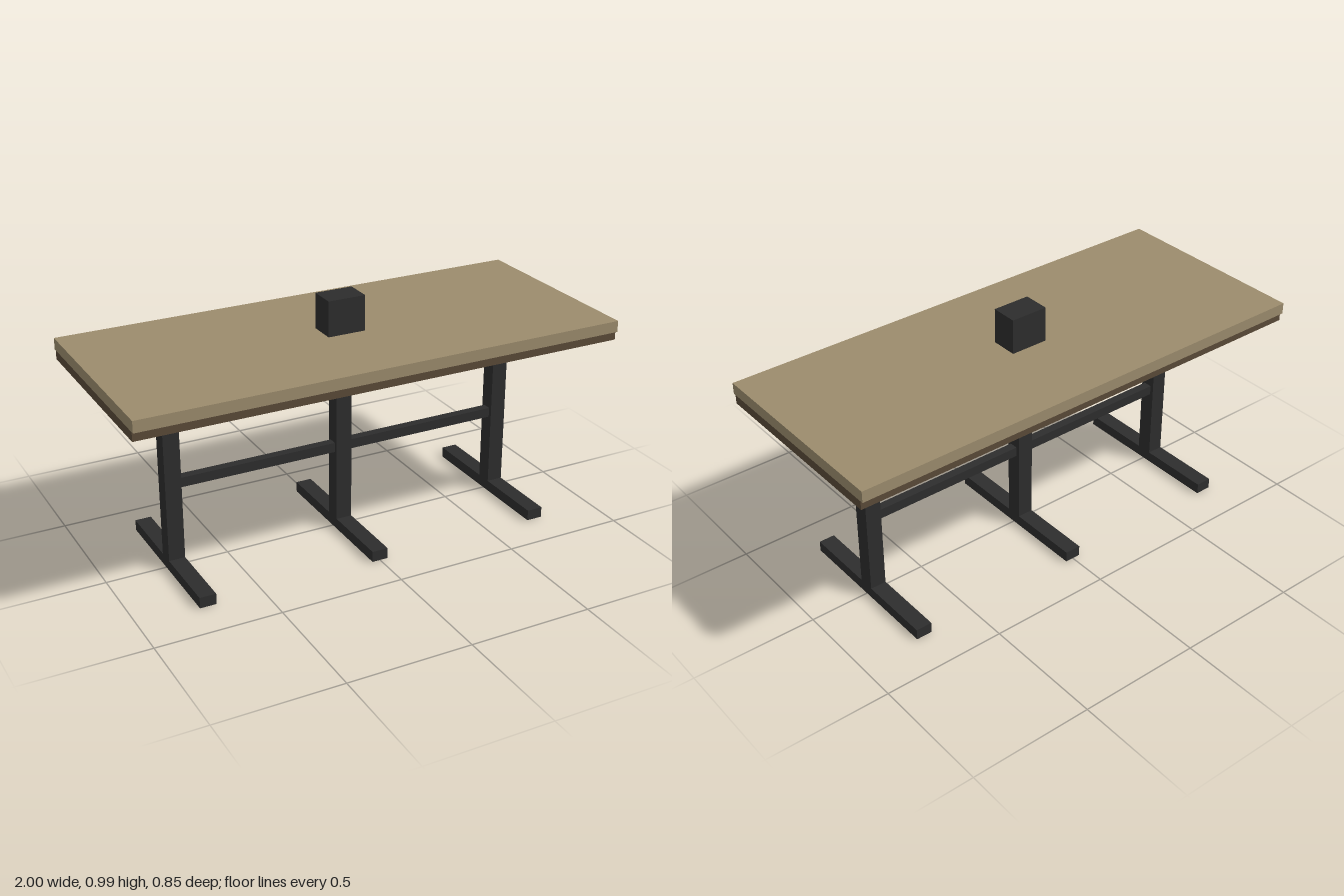
import * as THREE from 'three';

const woodTop = new THREE.MeshStandardMaterial({ color: 0x9c8c6d });
const darkWood = new THREE.MeshStandardMaterial({ color: 0x5a4a38 });
const blackSteel = new THREE.MeshStandardMaterial({ color: 0x2d2d2d, side: THREE.DoubleSide });

// Box given by its size, its bottom height and its x position
function box(name, material, w, h, d, bottom, x = 0) {
  const mesh = new THREE.Mesh(new THREE.BoxGeometry(w, h, d), material);
  mesh.name = name;
  mesh.position.set(x, bottom + h / 2, 0);
  return mesh;
}

// Remove the underside, leaving a channel that is open below
function openBelow(mesh) {
  const index = Array.from(mesh.geometry.index.array);
  index.splice(18, 6);
  mesh.geometry.setIndex(index);
  mesh.geometry.clearGroups();
  return mesh;
}

export function createModel() {
  const table = new THREE.Group();
  table.name = 'table';

  // Top board, the narrower board under it, and the block standing on it
  table.add(box('tableTop', woodTop, 2, 0.046, 0.846, 0.8));
  table.add(box('underBoard', darkWood, 2, 0.036, 0.822, 0.764));
  table.add(box('topBlock', blackSteel, 0.156, 0.144, 0.11, 0.846));

  // Three T-shaped legs: a post on a hollow foot
  for (const [name, x] of [['rightLeg', -0.723], ['middleLeg', 0], ['leftLeg', 0.723]]) {
    const leg = new THREE.Group();
    leg.name = name;
    leg.position.x = x;
    leg.add(box('post', blackSteel, 0.066, 0.72, 0.066, 0.044));
    leg.add(openBelow(box('foot', blackSteel, 0.066, 0.044, 0.668, 0)));
    table.add(leg);
  }

  // Cross bars joining the posts
  for (const side of [-1, 1]) {
    table.add(box(side < 0 ? 'rightCrossBar' : 'leftCrossBar', blackSteel, 0.657, 0.04, 0.036, 0.338, side * 0.3615));
  }
  return table;
}
